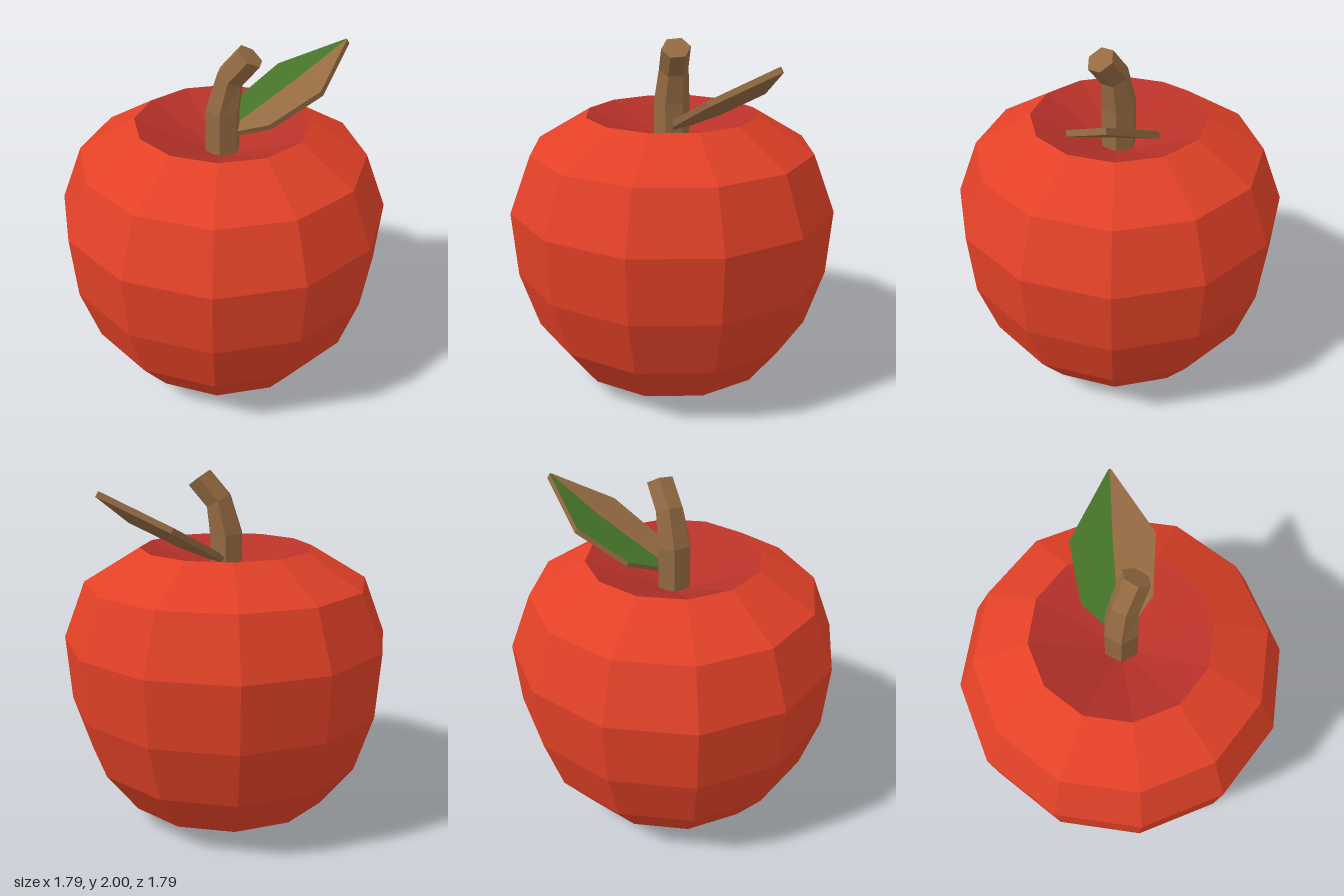
import * as THREE from 'three';

const material = (name, color, extra = {}) => {
  const m = new THREE.MeshStandardMaterial({ color, flatShading: true, ...extra });
  m.name = name;
  return m;
};

// Non-indexed geometry from quads, each listed counter-clockwise
function quadGeometry(quads) {
  const pos = [];
  for (const [a, b, c, d] of quads)
    for (const p of [a, b, c, a, c, d]) pos.push(p.x, p.y, p.z);
  const g = new THREE.BufferGeometry();
  g.setAttribute('position', new THREE.Float32BufferAttribute(pos, 3));
  g.computeVertexNormals();
  return g;
}

// Twelve-sided turned shape; the profile gives distances to the flat faces
function turned(profile) {
  const k = 1 / Math.cos(Math.PI / 12);
  const points = profile.map(([r, y]) => new THREE.Vector2(r * k, y));
  return new THREE.LatheGeometry(points, 12, Math.PI / 12);
}

// Six-sided bent stem with a flat cap: rings of centre, radius and lean
function stemGeometry() {
  const rings = [
    [0, 1.37, 0, 0.1, 0],
    [0, 1.65, 0, 0.1, 0.1],
    [0.04, 1.835, -0.01, 0.082, 0.5],
    [0.145, 1.96, -0.02, 0.08, 0.63],
  ].map(([x, y, z, r, lean]) => {
    const ring = [];
    for (let i = 0; i < 6; i++) {
      const a = 0.14 + (i * Math.PI) / 3;
      const s = Math.sin(a) * r;
      ring.push(new THREE.Vector3(x + s * Math.cos(lean), y - s * Math.sin(lean), z + Math.cos(a) * r));
    }
    return ring;
  });
  const quads = [];
  for (let j = 0; j < 3; j++)
    for (let i = 0; i < 6; i++) {
      const n = (i + 1) % 6;
      quads.push([rings[j][i], rings[j][n], rings[j + 1][n], rings[j + 1][i]]);
    }
  const t = rings[3];
  quads.push([t[0], t[1], t[2], t[3]], [t[0], t[3], t[4], t[5]]);
  return quadGeometry(quads);
}

// Leaf plate along the back-left diagonal, returned as two colour areas
function leafGeometries() {
  const half = new THREE.Vector3(-0.37, 0.85, 0.37).multiplyScalar(0.016);
  // x, y, z of the midrib and the half width along the diagonal
  const stations = [
    [0.01, 1.49, -0.01, 0.01],
    [0.135, 1.58, -0.135, 0.135],
    [0.345, 1.735, -0.33, 0.16],
    [0.565, 1.915, -0.52, 0.004],
  ].map(([x, y, z, w]) => {
    const at = (side, up) => new THREE.Vector3(x + side * w, y, z + side * w).addScaledVector(half, up);
    return { L: at(-1, 1), C: at(0, 1), R: at(1, 1), l: at(-1, -1), r: at(1, -1) };
  });
  const green = [], brown = [];
  for (let i = 0; i < 3; i++) {
    const a = stations[i], b = stations[i + 1];
    green.push([a.L, a.C, b.C, b.L]);
    brown.push(
      [a.C, a.R, b.R, b.C],
      [a.l, b.l, b.r, a.r],
      [a.r, b.r, b.R, a.R],
      [a.l, a.L, b.L, b.l],
    );
  }
  const s = stations[0], e = stations[3];
  brown.push([s.l, s.r, s.R, s.L], [e.r, e.l, e.L, e.R]);
  return [quadGeometry(green), quadGeometry(brown)];
}

export function createModel() {
  const group = new THREE.Group();
  group.name = 'apple';
  const red = material('skin red', 0xe24127);
  const crimson = material('hollow crimson', 0xb83229);
  const brown = material('stem brown', 0x946a42);
  const green = material('leaf green', 0x457328);

  const add = (name, geometry, mat, parent = group) => {
    const mesh = new THREE.Mesh(geometry, mat);
    mesh.name = name;
    parent.add(mesh);
  };

  // Fruit, with a shallow hollow underneath
  add('body', turned([
    [0, 0.08], [0.335, 0], [0.59, 0.12], [0.77, 0.37],
    [0.87, 0.7], [0.895, 1.07], [0.775, 1.39], [0.47, 1.58],
  ]), red);
  add('topHollow', turned([[0.47, 1.58], [0, 1.37]]), crimson);

  add('stem', stemGeometry(), brown);

  // Leaf
  const leaf = new THREE.Group();
  leaf.name = 'leaf';
  const [greenPart, brownPart] = leafGeometries();
  add('leafGreenHalf', greenPart, green, leaf);
  add('leafBrownHalfAndUnderside', brownPart, brown, leaf);
  group.add(leaf);
  return group;
}
